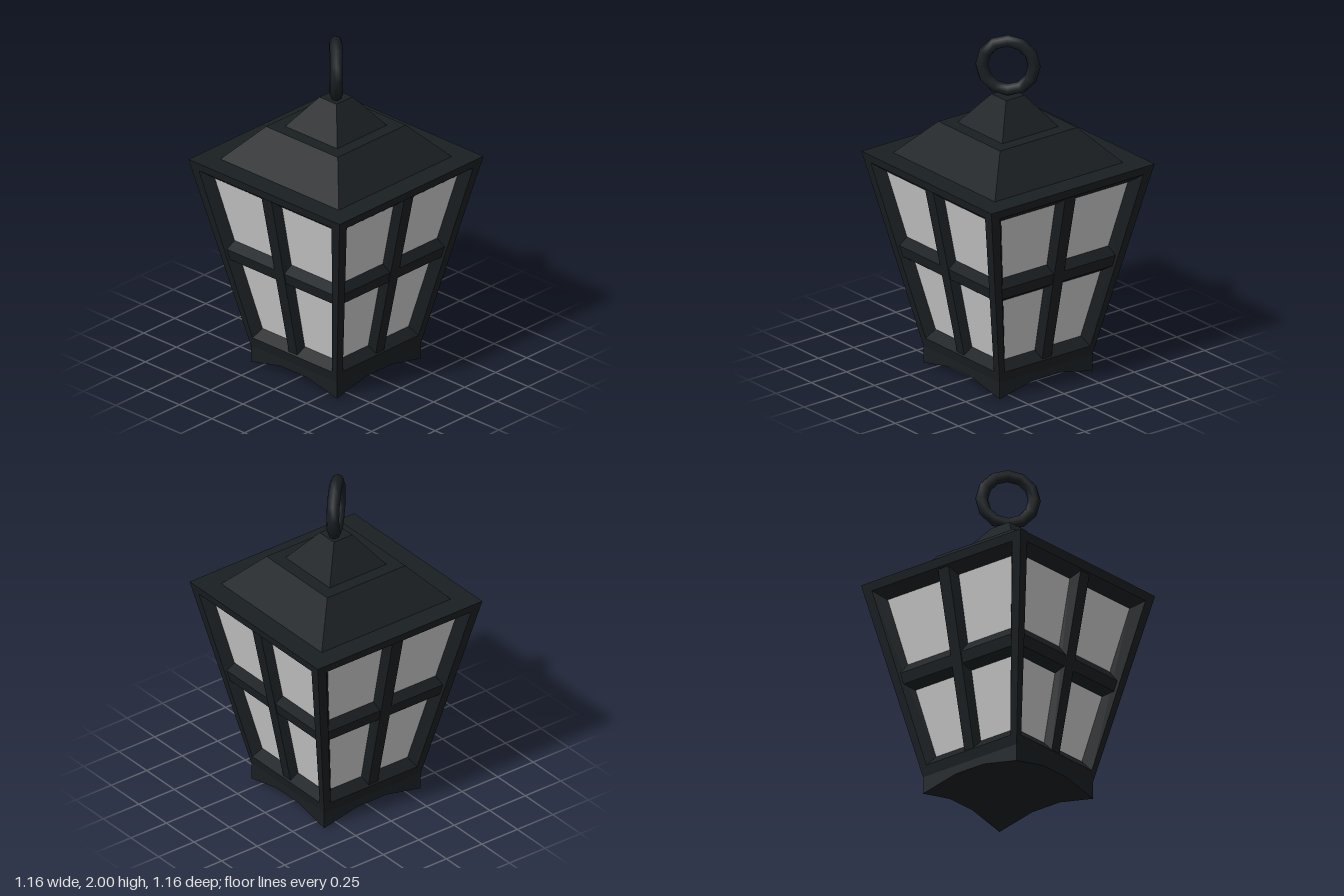
import * as THREE from 'three';

const iron = new THREE.MeshStandardMaterial({ color: 0x1a1f22 });
const pane = new THREE.MeshStandardMaterial({ color: 0xcccccc });
const BASE_Y = 0.1, RIM_Y = 1.26, RIM = 0.58;
const FOOT = { x: 0.34, z: 0.33 };

// Flat-shaded mesh from a list of convex polygons
function facets(name, polys, material) {
  const pos = [];
  for (const p of polys)
    for (let i = 1; i < p.length - 1; i++) pos.push(...p[0], ...p[i], ...p[i + 1]);
  const g = new THREE.BufferGeometry();
  g.setAttribute('position', new THREE.Float32BufferAttribute(pos, 3));
  g.computeVertexNormals();
  const mesh = new THREE.Mesh(g, material);
  mesh.name = name;
  return mesh;
}

// Quads joining successive four-cornered loops, optionally capped
function loft(loops, cap) {
  const polys = [];
  for (let k = 0; k < loops.length - 1; k++)
    for (let i = 0; i < 4; i++) {
      const j = (i + 1) % 4;
      polys.push([loops[k][i], loops[k][j], loops[k + 1][j], loops[k + 1][i]]);
    }
  if (cap) polys.push(loops[loops.length - 1]);
  return polys;
}

const square = (x, y, z = x) => [[x, y, z], [x, y, -z], [-x, y, -z], [-x, y, z]];

// One sloping side: frame with bevelled opening, glass and glazing bars
function createSide(footWidth, footDepth) {
  const side = new THREE.Group();
  const depthAt = y => footDepth + (RIM - footDepth) * (y - BASE_Y) / (RIM_Y - BASE_Y);
  const loop = (wb, yb, wt, yt, d) =>
    [[-wb, yb], [wb, yb], [wt, yt], [-wt, yt]].map(([x, y]) => [x, y, depthAt(y) - d]);
  const inner = loop(0.27, 0.215, 0.45, 1.16, 0.055);
  side.add(
    facets('frame', loft([
      loop(footWidth, BASE_Y, RIM, RIM_Y, 0),
      loop(0.305, 0.16, 0.51, 1.21, 0),
      inner
    ]), iron),
    facets('glass', [inner], pane),
    facets('uprightBar', loft([
      loop(0.055, 0.16, 0.067, 1.21, 0.056),
      loop(0.033, 0.165, 0.038, 1.205, 0.008)
    ], true), iron),
    facets('crossBar', loft([
      loop(0.385, 0.615, 0.41, 0.77, 0.056),
      loop(0.395, 0.65, 0.405, 0.715, 0.012)
    ], true), iron)
  );
  return side;
}

// Plinth with a shallow arch cut into each lower edge
function createBase() {
  const { x, z } = FOOT, a = 0.1, h = 0.05;
  const rim = [
    [x, 0, z], [x, h, a], [x, h, -a], [x, 0, -z], [a, h, -z], [-a, h, -z],
    [-x, 0, -z], [-x, h, -a], [-x, h, a], [-x, 0, z], [-a, h, z], [a, h, z]
  ];
  const polys = [];
  rim.forEach((p, i) => {
    const q = rim[(i + 1) % rim.length];
    polys.push([p, q, [q[0], BASE_Y, q[2]], [p[0], BASE_Y, p[2]]]);
    polys.push([q, p, [0, h, 0]]);
  });
  return facets('base', polys, iron);
}

export function createModel() {
  const lantern = new THREE.Group();
  lantern.name = 'lantern';
  lantern.add(createBase());

  // Four glazed sides
  ['front', 'left', 'back', 'right'].forEach((n, i) => {
    const side = i % 2 ? createSide(FOOT.z, FOOT.x) : createSide(FOOT.x, FOOT.z);
    side.name = n + 'Side';
    side.rotation.y = i * Math.PI / 2;
    lantern.add(side);
  });

  // Stepped roof
  const steps = [[RIM, RIM_Y], [0.455, RIM_Y], [0.275, 1.46], [0.2, 1.46], [0.065, 1.64]];
  lantern.add(facets('roof', loft(steps.map(([r, y]) => square(r, y)), true), iron));

  // Hanging ring, set on the diagonal
  const ring = new THREE.Mesh(new THREE.TorusGeometry(0.147, 0.036, 8, 12), iron);
  ring.name = 'hangingRing';
  ring.position.y = 1.817;
  ring.rotation.y = Math.PI / 4;
  lantern.add(ring);
  return lantern;
}
